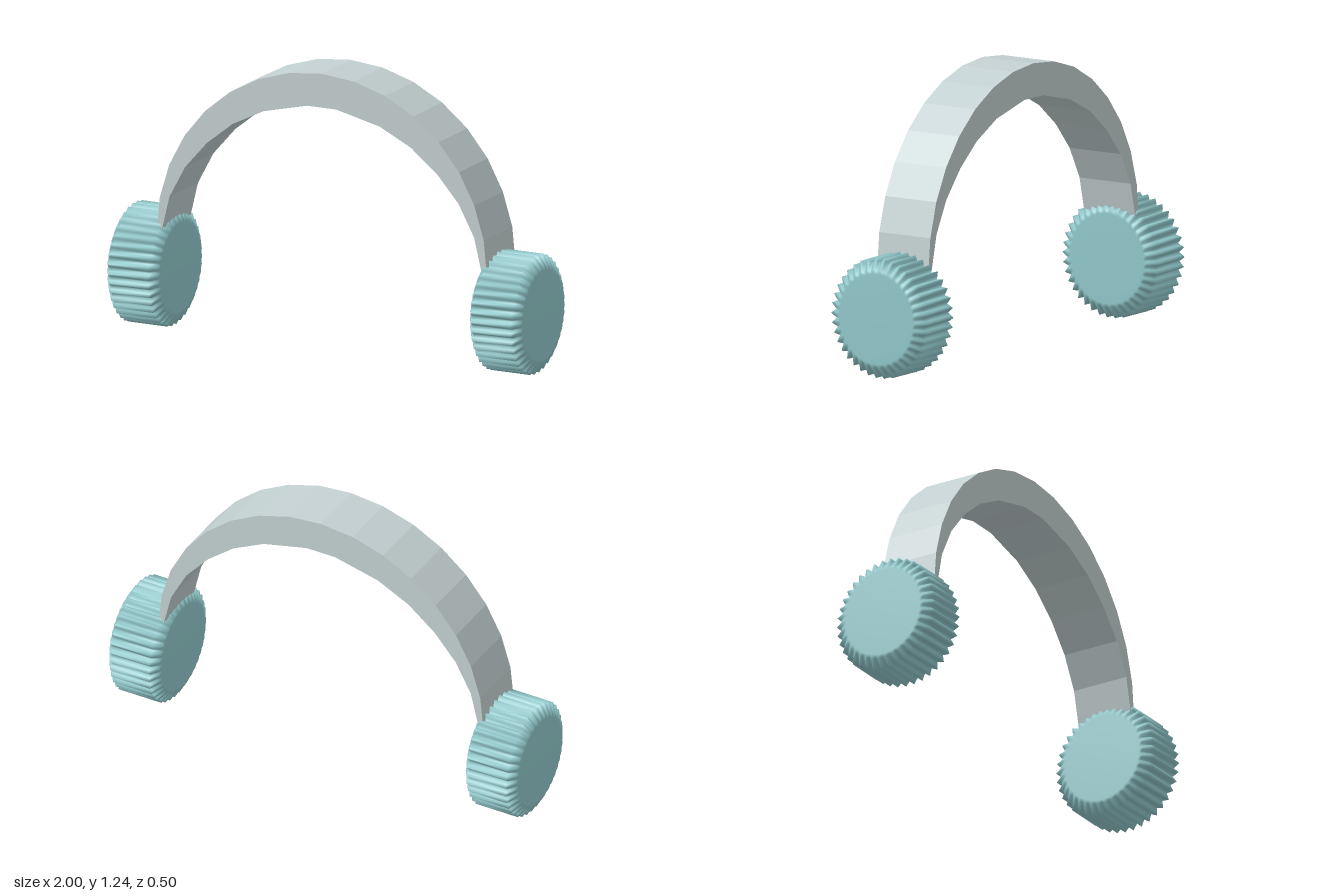
import * as THREE from 'three';
import { mergeVertices } from 'three/addons/utils/BufferGeometryUtils.js';

const TEETH = 38;

// Knurled round pad: a turned profile whose rim radius is rippled
function cupGeometry() {
  // half profile: [radius, offset along the axis, ripple height]
  const half = [[0, 0.125, 0], [0.195, 0.125, 0], [0.21, 0.122, 0.003], [0.247, 0.095, 0.014]];
  const rows = [...half.map(([r, h, a]) => [r, -h, a]), ...half.slice().reverse()];
  const geo = new THREE.LatheGeometry(rows.map(([r, h]) => new THREE.Vector2(r, h)), TEETH * 4);
  const pos = geo.attributes.position;
  for (let i = 0; i < pos.count; i++) {
    const [r, h, a] = rows[i % rows.length];
    const step = Math.floor(i / rows.length) % (TEETH * 4);
    const angle = step / (TEETH * 4) * Math.PI * 2;
    const radius = r + a * Math.cos(step * Math.PI / 2);
    pos.setXYZ(i, radius * Math.sin(angle), h, radius * Math.cos(angle));
  }
  geo.deleteAttribute('uv');
  geo.deleteAttribute('normal');
  const smooth = mergeVertices(geo, 1e-5);
  smooth.rotateZ(-Math.PI / 2);
  smooth.scale(1, 1.005, 0.965);
  smooth.computeVertexNormals();
  return smooth;
}

// Arched band: faceted half circle outside, flatter curve inside, tapering to the ends
function bandGeometry() {
  const shape = new THREE.Shape();
  for (let i = 0; i <= 16; i++) {
    const a = i / 16 * Math.PI;
    const x = 0.797 * Math.cos(a), y = 0.44 + 0.8 * Math.sin(a);
    if (i === 0) shape.moveTo(x, y);
    else shape.lineTo(x, y);
  }
  const inner = [[0.775, 0.44], [0.765, 0.48], [0.735, 0.605], [0.66, 0.745], [0.555, 0.865],
    [0.43, 0.965], [0.28, 1.04], [0.07, 1.09]];
  inner.forEach(([x, y]) => shape.lineTo(-x, y));
  inner.reverse().forEach(([x, y]) => shape.lineTo(x, y));
  const geo = new THREE.ExtrudeGeometry(shape, { depth: 0.265, bevelEnabled: false });
  geo.translate(0, 0, -0.1325);
  return geo;
}

export function createModel() {
  const model = new THREE.Group();
  model.name = 'headphones';
  const paleGrey = new THREE.MeshStandardMaterial({ color: 0xc3d0d1 });
  paleGrey.name = 'pale grey';
  const aqua = new THREE.MeshStandardMaterial({ color: 0x92c9cc });
  aqua.name = 'aqua';

  const band = new THREE.Mesh(bandGeometry(), paleGrey);
  band.name = 'headband';
  model.add(band);

  // Ear cups on both sides
  const cup = cupGeometry();
  for (const side of [-1, 1]) {
    const mesh = new THREE.Mesh(cup, aqua);
    mesh.name = side > 0 ? 'leftEarCup' : 'rightEarCup';
    mesh.position.set(side * 0.875, 0.2623, 0);
    model.add(mesh);
  }
  return model;
}
